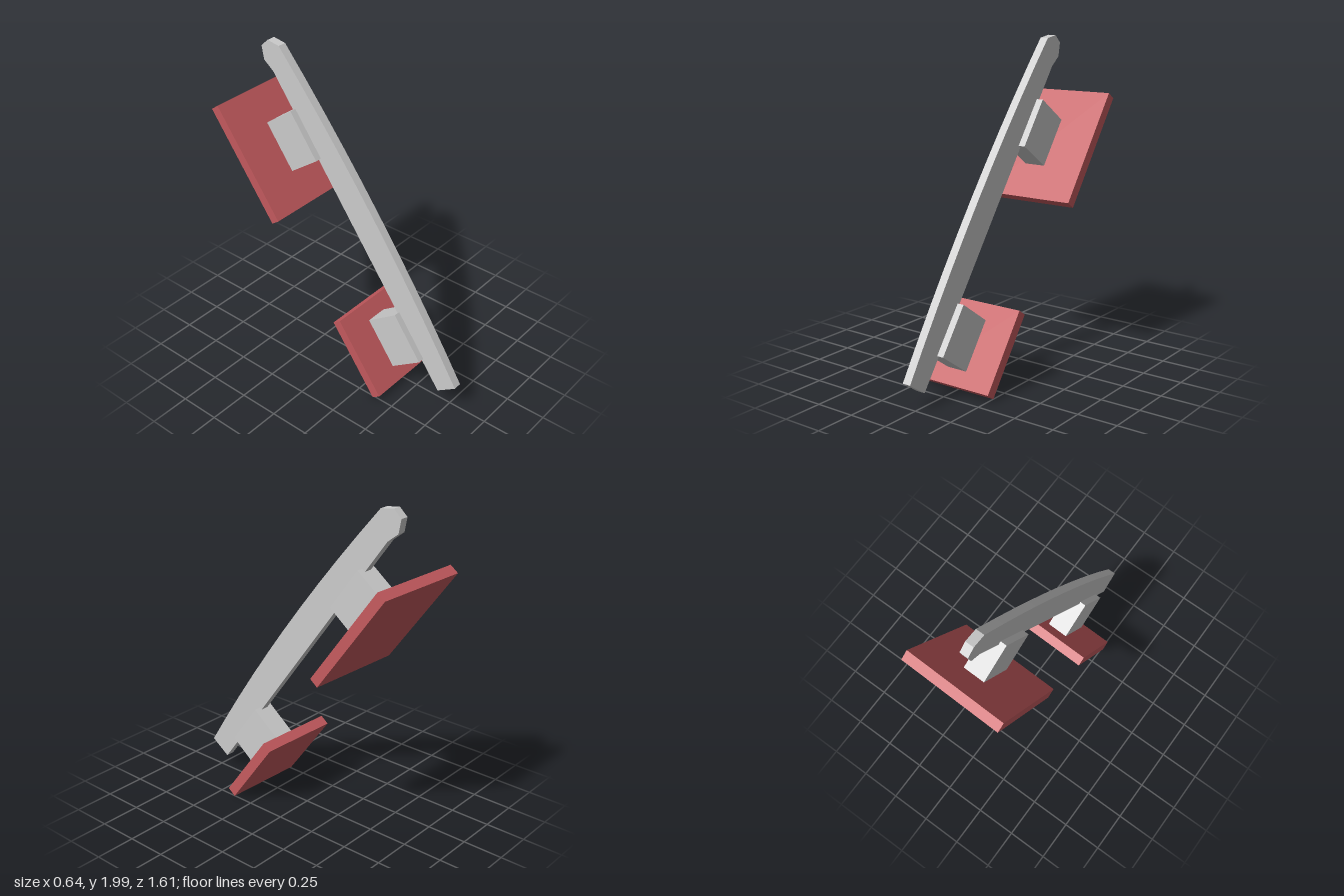
import * as THREE from 'three';

const LEAN = -0.63;   // backward lean of the whole piece
const TWIST = -0.028; // slight turn of the pads about the rail

export function createModel() {
  const model = new THREE.Group();
  const grey = new THREE.MeshStandardMaterial({ color: 0xcccccc, flatShading: true });
  const red = new THREE.MeshStandardMaterial({ color: 0xc45a5e, flatShading: true });

  // Bowed rail: side profile drawn in (z, y), then turned to face sideways
  const profile = new THREE.Shape();
  profile.moveTo(0.805, 0.18);
  profile.lineTo(0.683, 0.095);
  profile.lineTo(-0.572, 1.815);
  profile.lineTo(-0.64, 1.868);
  profile.lineTo(-0.656, 1.953);
  profile.lineTo(-0.605, 2.0);
  profile.lineTo(-0.52, 1.987);
  profile.quadraticCurveTo(0.215, 1.137, 0.805, 0.18);
  const railGeometry = new THREE.ExtrudeGeometry(profile, {
    depth: 0.053, bevelEnabled: false, curveSegments: 10,
  });
  railGeometry.rotateY(-Math.PI / 2).translate(0.013, 0, 0);
  const rail = new THREE.Mesh(railGeometry, grey);
  rail.name = 'rail';
  model.add(rail);

  // A box aligned with the leaning rail
  const addBox = (name, size, position, material) => {
    const mesh = new THREE.Mesh(new THREE.BoxGeometry(...size), material);
    mesh.name = name;
    mesh.position.set(...position);
    mesh.rotation.set(LEAN, TWIST, 0);
    model.add(mesh);
  };

  // Upper and lower pads with their mounting blocks
  addBox('upperBlock', [0.137, 0.322, 0.247], [-0.008, 1.425, -0.413], grey);
  addBox('upperPad', [0.64, 0.755, 0.063], [0, 1.325, -0.552], red);
  addBox('lowerBlock', [0.137, 0.322, 0.247], [-0.008, 0.337, 0.374], grey);
  addBox('lowerPad', [0.525, 0.523, 0.063], [0, 0.242, 0.241], red);

  return model;
}
